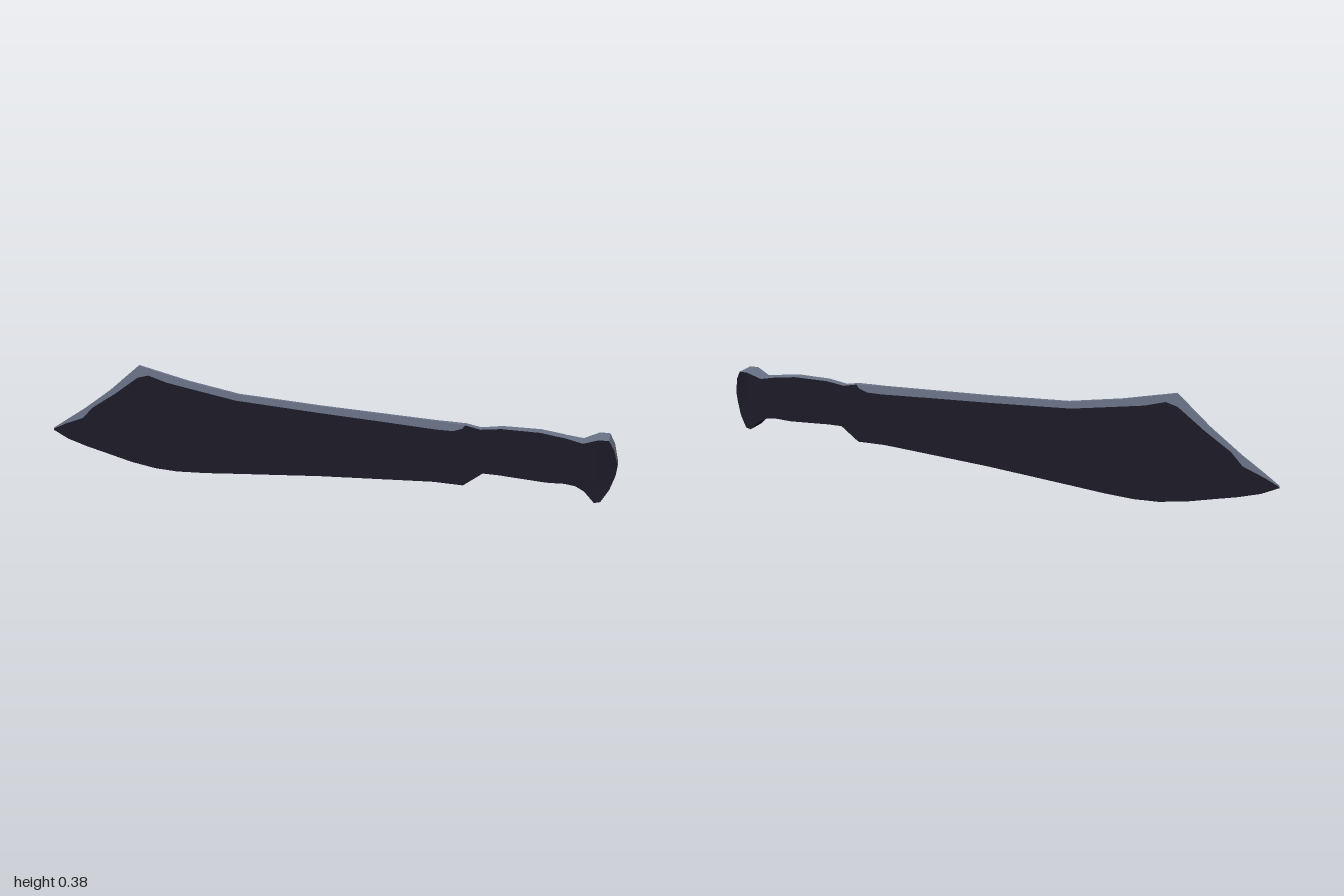
import * as THREE from 'three';
import { toCreasedNormals } from 'three/addons/utils/BufferGeometryUtils.js';

// Outline of the machete as [x, y] polylines
const top = [[-1, .122], [-.874, .207], [-.767, .288], [-.655, .387], [-.473, .345], [-.29, .313],
  [0, .297], [.5, .277], [.55, .267], [.62, .277], [.746, .277], [.82, .267], [.885, .256], [.935, .277]];
const bottom = [[-1, .114], [-.944, .087], [-.87, .064], [-.794, .045], [-.7, .021], [-.61, .006], [-.527, .002],
  [-.42, .007], [-.31, .016], [0, .04], [.4, .062], [.5, .062], [.565, .113], [.62, .113], [.773, .105],
  [.837, .107], [.87, .105], [.9, .092], [.935, .058]];
// Lower border of the bare steel band along the spine
const band = [[-1, .118], [-.95, .144], [-.88, .172], [-.84, .215], [-.75, .275], [-.66, .343], [-.62, .354],
  [-.55, .333], [-.4, .307], [-.3, .29], [0, .272], [.2, .262], [.4, .251], [.46, .252], [.49, .264], [.5, .277]];
// Half thickness along the length
const width = [[-1, .001], [-.94, .005], [.39, .005], [.5, .011], [.64, .016], [.8, .019], [.83, .018],
  [.88, .026], [.935, .038]];
// Rounded butt of the pommel: [x, y, half thickness]
const butt = [[.967, .277, .037], [.985, .245, .031], [1, .187, .018], [.996, .152, .018],
  [.98, .105, .028], [.955, .063, .037]];

// Height of a polyline at x
function at(line, x) {
  for (let i = 1; i < line.length; i++) {
    const [x0, y0] = line[i - 1], [x1, y1] = line[i];
    if (x <= x1) return y0 + (y1 - y0) * (x - x0) / (x1 - x0);
  }
  return line[line.length - 1][1];
}

const flip = ([x, y, z]) => [x, y, -z];

function quad(list, a, b, c, d) {
  list.push(...a, ...b, ...c, ...a, ...c, ...d);
}

// A quad on the +z side and its mirror on the -z side
function sides(list, a, b, c, d) {
  quad(list, a, b, c, d);
  quad(list, flip(d), flip(c), flip(b), flip(a));
}

// A quad bridging from the +z edge a-b to its mirror
function bridge(list, a, b) {
  quad(list, a, b, flip(b), flip(a));
}

// Slab between two x positions, following the outline; the band runs along the blade only
function loft(from, to, hasBand, steel, dark) {
  const xs = [...new Set([top, bottom, band, width].flat().map(p => p[0]))]
    .filter(x => x >= from && x <= to).sort((a, b) => a - b);
  const stations = xs.map(x => {
    const w = at(width, x), y = at(top, x);
    return {
      top: [x, y, w],
      mid: [x, hasBand ? at(band, x) : y, w],
      bottom: [x, at(bottom, x), w],
    };
  });
  for (let i = 1; i < stations.length; i++) {
    const l = stations[i - 1], r = stations[i];
    bridge(steel, l.top, r.top);
    bridge(dark, r.bottom, l.bottom);
    sides(dark, l.bottom, r.bottom, r.mid, l.mid);
    if (hasBand) sides(steel, l.mid, r.mid, r.top, l.top);
  }
}

// Flared end of the handle, pinched at the middle of the butt
function pommel(steel, dark) {
  const last = butt.length - 1;
  const inner = butt.map(([, y], i) => [.935, i === last ? .058 : y, .038]);
  bridge(steel, inner[0], butt[0]);
  bridge(dark, butt[last], inner[last]);
  for (let i = 1; i <= last; i++) {
    sides(dark, inner[i], butt[i], butt[i - 1], inner[i - 1]);
    bridge(i <= 3 ? steel : dark, butt[i], butt[i - 1]);
    // butt faces look outward along +x
    const list = i <= 3 ? steel : dark;
    list.splice(-18);
    quad(list, butt[i], flip(butt[i]), flip(butt[i - 1]), butt[i - 1]);
  }
}

export function createModel() {
  const steelMat = new THREE.MeshStandardMaterial({ color: 0x6b7489 });
  steelMat.name = 'bare steel';
  const darkMat = new THREE.MeshStandardMaterial({ color: 0x1c1b27 });
  darkMat.name = 'blackened metal';

  const model = new THREE.Group();
  model.name = 'machete';

  function part(name, build) {
    const group = new THREE.Group();
    group.name = name;
    const steel = [], dark = [];
    build(steel, dark);
    for (const [label, list, mat] of [['Steel', steel, steelMat], ['Dark', dark, darkMat]]) {
      const geo = new THREE.BufferGeometry();
      geo.setAttribute('position', new THREE.Float32BufferAttribute(list, 3));
      const mesh = new THREE.Mesh(toCreasedNormals(geo, .5), mat);
      mesh.name = name + label;
      group.add(mesh);
    }
    model.add(group);
  }

  part('blade', (steel, dark) => loft(-1, .5, true, steel, dark));
  part('handle', (steel, dark) => loft(.5, .935, false, steel, dark));
  part('pommel', pommel);

  // Close the blunt tip
  const tip = new THREE.Mesh(new THREE.PlaneGeometry(.002, .008), darkMat);
  tip.name = 'bladeTip';
  tip.rotation.y = -Math.PI / 2;
  tip.position.set(-1, .118, 0);
  model.add(tip);
  return model;
}
